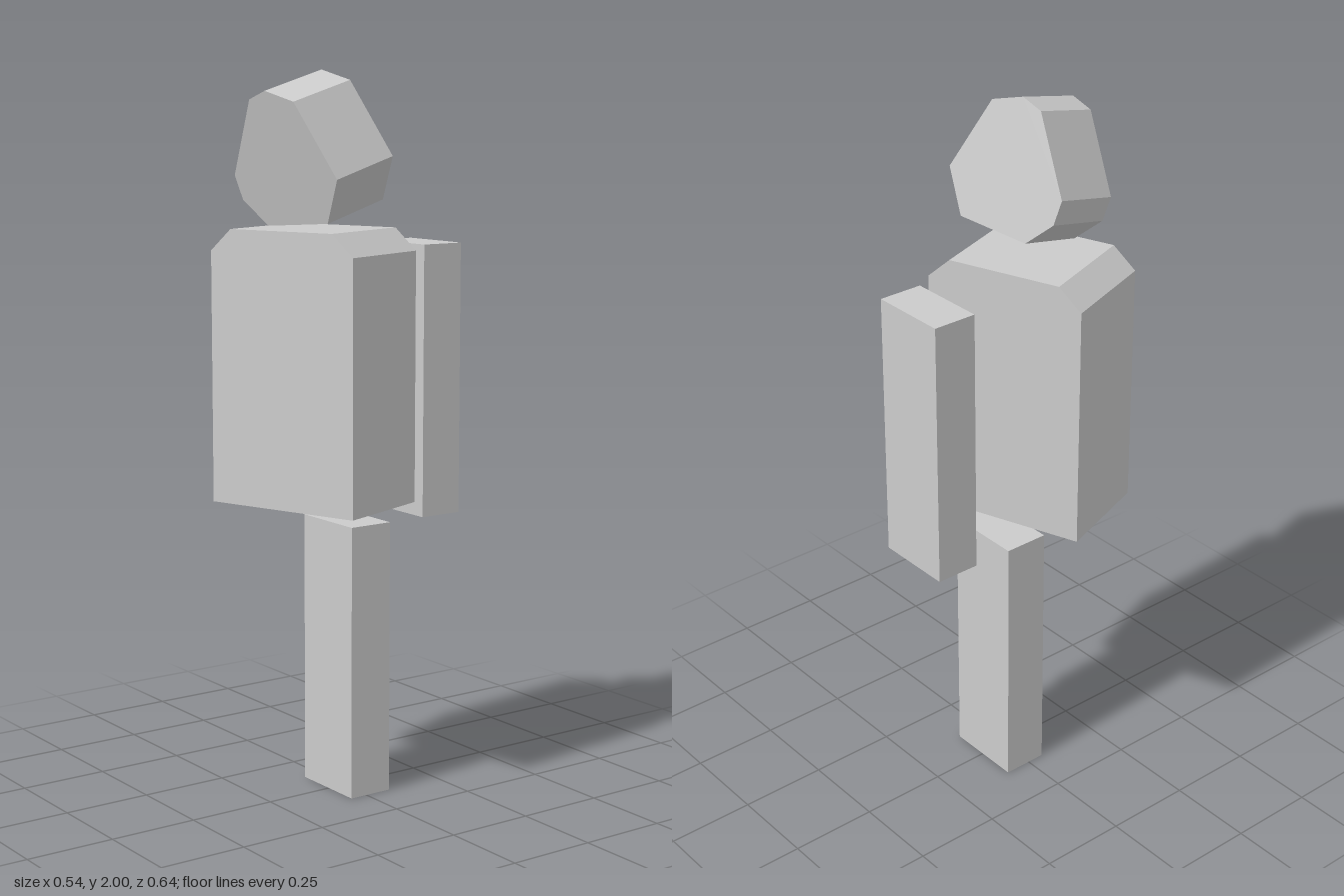
import * as THREE from 'three';

const material = new THREE.MeshStandardMaterial({ color: 0xcccccc, flatShading: true });
const rad = THREE.MathUtils.degToRad;

function addMesh(group, name, geometry, x, y, z) {
  const mesh = new THREE.Mesh(geometry, material);
  mesh.name = name;
  mesh.position.set(x, y, z);
  group.add(mesh);
  return mesh;
}

// Flat outline pushed straight along z
function prism(points, depth, zStart) {
  const shape = new THREE.Shape(points.map(([x, y]) => new THREE.Vector2(x, y)));
  return new THREE.ExtrudeGeometry(shape, { depth, bevelEnabled: false }).translate(0, 0, zStart);
}

export function createModel() {
  const group = new THREE.Group();

  // Leg block and the arm block behind the body
  addMesh(group, 'leg', new THREE.BoxGeometry(0.227, 0.77, 0.13), -0.004, 0.385, -0.014);
  addMesh(group, 'arm', new THREE.BoxGeometry(0.227, 0.76, 0.128), -0.004, 1.15, -0.257);

  // Torso with sloped shoulders, turned to one side
  const w = 0.231, top = 0.75, shoulder = 0.69, neck = 0.165;
  const torso = addMesh(group, 'torso', prism([
    [-w, 0], [w, 0], [w, shoulder], [neck, top], [-neck, top], [-w, shoulder],
  ], 0.303, -0.1515), -0.004, 0.83, 0.097);
  torso.rotation.y = rad(20);

  // Eight-sided head, turned and nodding forward; its origin lies on the face
  const head = addMesh(group, 'head', prism([
    [-0.012, 0.202], [-0.076, 0.179], [-0.190, -0.028], [-0.177, -0.096],
    [-0.098, -0.165], [0.127, -0.149], [0.191, -0.029], [0.086, 0.174],
  ], 0.2155, -0.2155), 0.08, 1.75, 0.253);
  head.rotation.set(rad(14.8), rad(10.2), 0, 'YXZ');

  return group;
}
